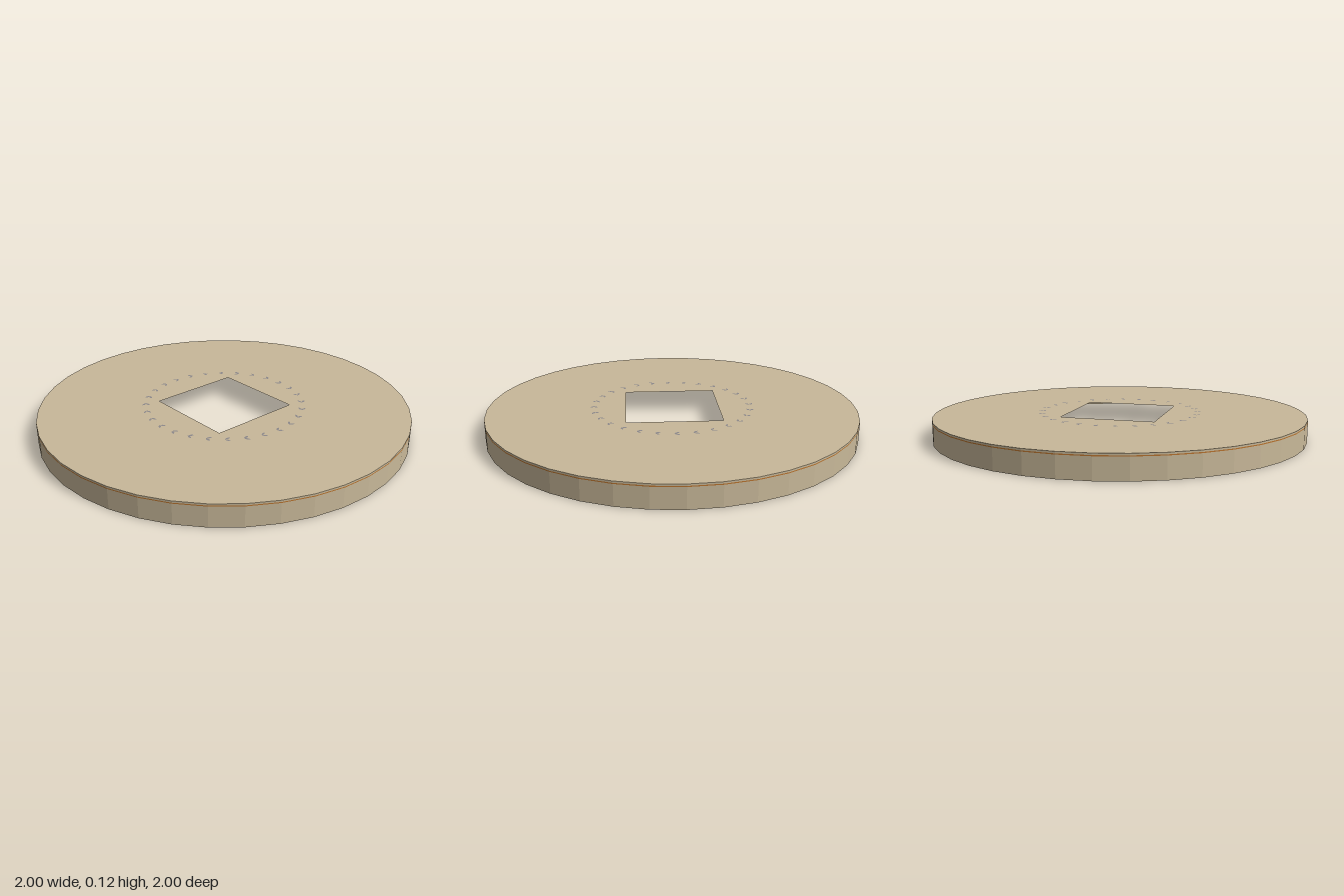
import * as THREE from 'three';

const SIDES = 40;
const HEIGHT = 0.12;

function material(name, color) {
  const m = new THREE.MeshStandardMaterial({ color, side: THREE.DoubleSide, flatShading: true });
  m.name = name;
  return m;
}

// Open faceted band of the outer wall between two heights
function band(name, y0, y1, mat) {
  const geo = new THREE.CylinderGeometry(1, 1, y1 - y0, SIDES, 1, true);
  const mesh = new THREE.Mesh(geo, mat);
  mesh.name = name;
  mesh.position.y = (y0 + y1) / 2;
  return mesh;
}

// Slim pointed leaf starting at the origin and running along angle a
function leafShape(a) {
  const point = (along, across) => new THREE.Vector2(
    along * Math.cos(a) - across * Math.sin(a),
    along * Math.sin(a) + across * Math.cos(a));
  return new THREE.Shape([
    point(0, 0), point(0.012, -0.006), point(0.022, -0.006),
    point(0.034, 0), point(0.022, 0.006), point(0.012, 0.006),
  ]);
}

export function createModel() {
  const group = new THREE.Group();
  group.name = 'disc';
  const tan = material('tan', 0xc8b899);
  const copper = material('copper', 0xb8732e);
  const grey = material('grey', 0x8c888a);

  // Top plate with a square opening
  const plate = new THREE.Shape();
  for (let i = 0; i < SIDES; i++) {
    const a = (i / SIDES) * Math.PI * 2;
    if (i === 0) plate.moveTo(1, 0);
    else plate.lineTo(Math.cos(a), Math.sin(a));
  }
  plate.closePath();
  const h = 0.252;
  plate.holes.push(new THREE.Path([
    new THREE.Vector2(-h, -h), new THREE.Vector2(-h, h),
    new THREE.Vector2(h, h), new THREE.Vector2(h, -h),
  ]));
  const top = new THREE.Mesh(new THREE.ShapeGeometry(plate).rotateX(-Math.PI / 2), tan);
  top.name = 'topPlate';
  top.position.y = HEIGHT;
  group.add(top);

  // Rim, open underneath, with a fine copper line near the top
  group.add(
    band('rimWall', 0, 0.106, tan),
    band('rimLine', 0.106, 0.111, copper),
    band('rimEdge', 0.111, HEIGHT, tan),
  );

  // Ring of paired leaves, their tips joined in the direction of travel
  const wreath = new THREE.Group();
  wreath.name = 'leafRing';
  const spread = 0.6;
  const leaves = new THREE.ShapeGeometry([leafShape(Math.PI - spread), leafShape(Math.PI + spread)])
    .translate(0.015, 0, 0).rotateX(-Math.PI / 2);
  const COUNT = 28;
  for (let i = 0; i < COUNT; i++) {
    const a = (i / COUNT) * Math.PI * 2;
    const pair = new THREE.Mesh(leaves, grey);
    pair.name = 'leafPair';
    pair.position.set(-0.425 * Math.sin(a), HEIGHT + 0.001, -0.425 * Math.cos(a));
    pair.rotation.y = a;
    wreath.add(pair);
  }
  group.add(wreath);
  return group;
}
